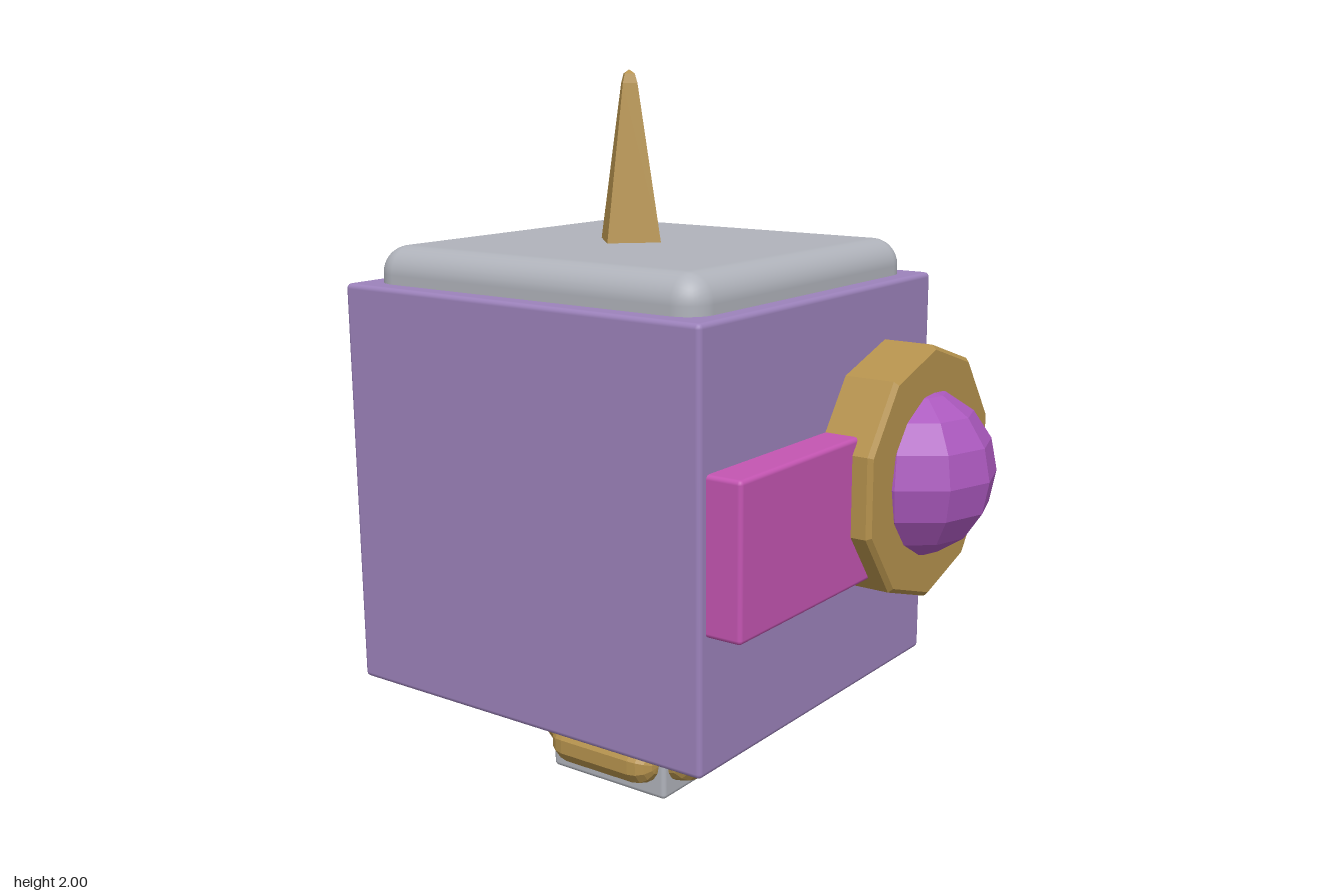
import * as THREE from 'three';
import { RoundedBoxGeometry } from 'three/addons/geometries/RoundedBoxGeometry.js';

export function createModel() {
  const model = new THREE.Group();
  model.name = 'model';

  const material = (name, color, flatShading = false) => {
    const m = new THREE.MeshStandardMaterial({ color, flatShading });
    m.name = name;
    return m;
  };
  const purple = material('purple', 0x9c82bb);
  const grey = material('grey', 0xb0b3bb);
  const gold = material('gold', 0xb5924d, true);
  const pink = material('pink', 0xc455b2);
  const violet = material('violet', 0xaa58bd, true);

  const add = (name, geometry, mat, x, y, z, parent = model) => {
    const mesh = new THREE.Mesh(geometry, mat);
    mesh.name = name;
    mesh.position.set(x, y, z);
    parent.add(mesh);
    return mesh;
  };

  // Box from its minimum and maximum corners, with rounded edges
  const box = (name, mat, min, max, radius, segments = 2) => {
    const size = max.map((v, i) => v - min[i]);
    const mid = max.map((v, i) => (v + min[i]) / 2);
    return add(name, new RoundedBoxGeometry(...size, segments, radius), mat, ...mid);
  };

  box('body', purple, [-0.608, 0.313, -0.75], [0.518, 1.44, 0.425], 0.014);
  box('lid', grey, [-0.555, 1.34, -0.7], [0.468, 1.54, 0.375], 0.075, 4);
  box('neck', grey, [-0.247, 0.005, -0.362], [0.158, 0.34, 0.044], 0.014);
  box('sideBar', pink, [-0.583, 0.675, 0.36], [0.2, 1.08, 0.525], 0.012);

  // Four-sided spike with a blunt tip
  const spikeProfile = [[0, 1.45], [0.122, 1.45], [0.104, 1.54], [0.028, 1.965], [0.019, 1.99], [0, 2]]
    .map(([r, y]) => new THREE.Vector2(r, y));
  add('spike', new THREE.LatheGeometry(spikeProfile, 4), gold, -0.045, 0, -0.212);

  // Ten-sided eye rim with a narrow bevel
  const bevel = 0.012;
  const corners = [];
  for (let i = 0; i < 10; i++) {
    const a = Math.PI / 2 + (i * Math.PI) / 5;
    corners.push(new THREE.Vector2(Math.cos(a), Math.sin(a)).multiplyScalar(0.342));
  }
  const rim = new THREE.ExtrudeGeometry(new THREE.Shape(corners), {
    depth: 0.252 - 2 * bevel, bevelEnabled: true, bevelSize: bevel, bevelThickness: bevel, bevelSegments: 1,
  });
  add('eyeRim', rim, gold, 0.262, 0.928, 0.329 + bevel);

  // Faceted eye bulging out of the rim
  const eye = new THREE.SphereGeometry(0.237, 10, 8).rotateY(Math.PI / 10);
  add('eye', eye, violet, 0.262, 0.928, 0.516);

  // Four capsule bolts, one half sunk into each side of the neck
  const bolts = new THREE.Group();
  bolts.name = 'neckBolts';
  model.add(bolts);
  const capsule = new THREE.CapsuleGeometry(0.065, 0.24, 4, 10).rotateZ(Math.PI / 2);
  for (let i = 0; i < 4; i++) {
    const a = (i * Math.PI) / 2;
    const bolt = add('neckBolt', capsule, gold,
      -0.045 + Math.sin(a) * 0.203, 0.107, -0.159 + Math.cos(a) * 0.203, bolts);
    bolt.rotation.y = a;
    bolt.scale.z = i % 2 ? 1 : 1.33;
  }

  return model;
}
